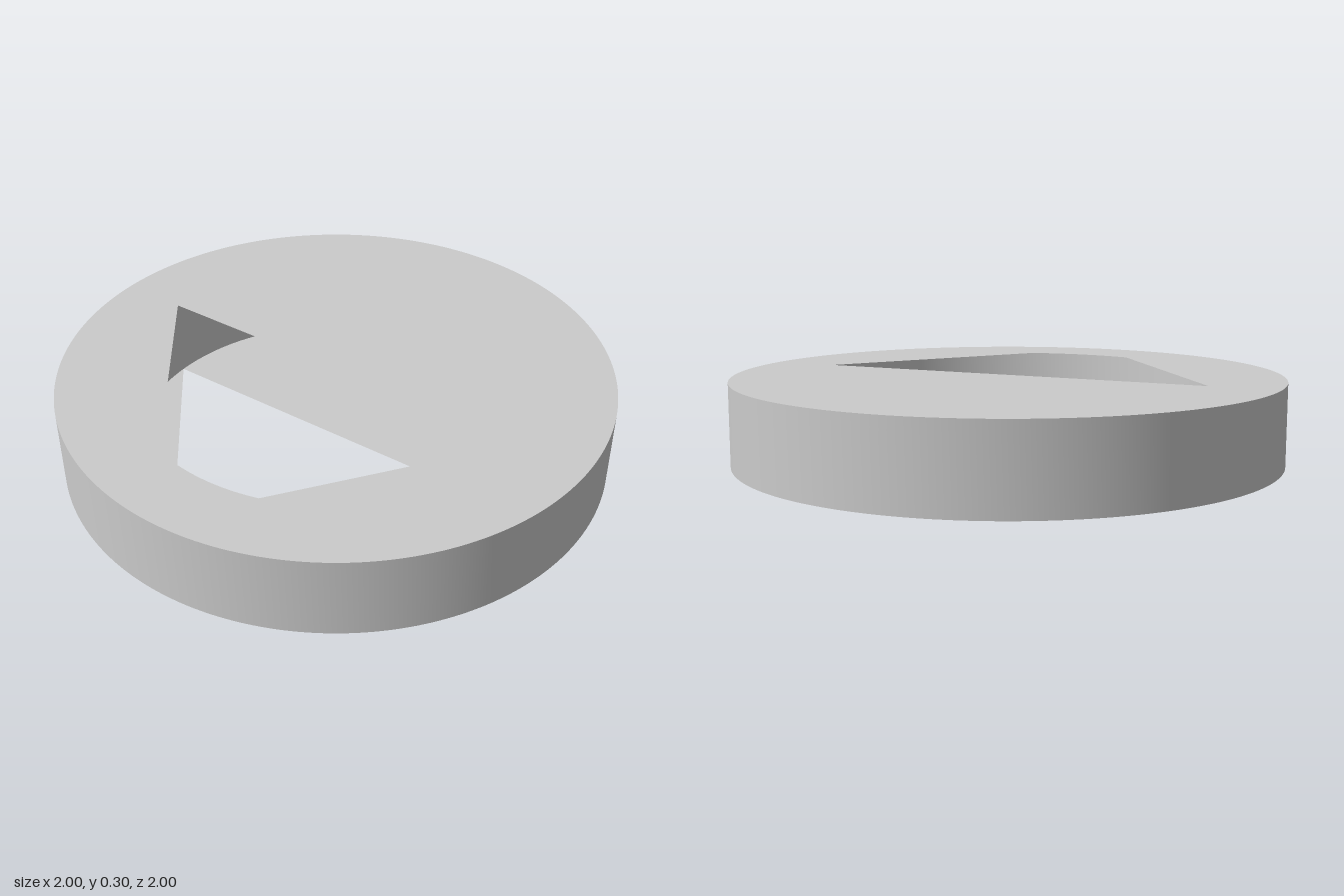
import * as THREE from 'three';
import { toCreasedNormals } from 'three/addons/utils/BufferGeometryUtils.js';

const OUTER = 1, INNER = 0.75, HEIGHT = 0.3;
const rad = THREE.MathUtils.degToRad;

// Area between a chord of the inner circle and its arc
function circleSegment(from, to) {
  const shape = new THREE.Shape();
  shape.absarc(0, 0, INNER, rad(from), rad(to), false);
  shape.closePath();
  return shape;
}

// Thin plate: back half disc plus two side slivers, leaving a tapered opening.
// leftGap and rightGap are the angles from the front (+z) to the opening's corners.
function createPlate(name, y, up, leftGap, rightGap, material) {
  const spans = [[180, 360], [0, 90 - rightGap], [90 + leftGap, 180]];
  const shapes = spans.map(([a, b]) => (up ? circleSegment(-b, -a) : circleSegment(a, b)));
  const geometry = new THREE.ShapeGeometry(shapes, 54);
  geometry.rotateX(up ? -Math.PI / 2 : Math.PI / 2);
  const mesh = new THREE.Mesh(geometry, material);
  mesh.name = name;
  mesh.position.y = y;
  return mesh;
}

export function createModel() {
  const group = new THREE.Group();
  group.name = 'slottedDisc';
  const solid = new THREE.MeshStandardMaterial({ color: 0xcccccc });
  const thin = new THREE.MeshStandardMaterial({ color: 0xcccccc, side: THREE.DoubleSide });

  // Outer ring with a round hollow
  const outline = new THREE.Shape();
  outline.absarc(0, 0, OUTER, 0, Math.PI * 2, false);
  const hollow = new THREE.Path();
  hollow.absarc(0, 0, INNER, 0, Math.PI * 2, true);
  outline.holes.push(hollow);
  const ringGeometry = new THREE.ExtrudeGeometry(outline, {
    depth: HEIGHT, bevelEnabled: false, curveSegments: 108,
  });
  ringGeometry.rotateX(-Math.PI / 2);
  const ring = new THREE.Mesh(toCreasedNormals(ringGeometry, rad(30)), solid);
  ring.name = 'ring';
  group.add(ring);

  // Plates closing the hollow except for the opening
  group.add(createPlate('topPlate', HEIGHT, true, 16.2, 16.2, thin));
  group.add(createPlate('bottomPlate', 0, false, 12.8, 19.4, thin));
  return group;
}
